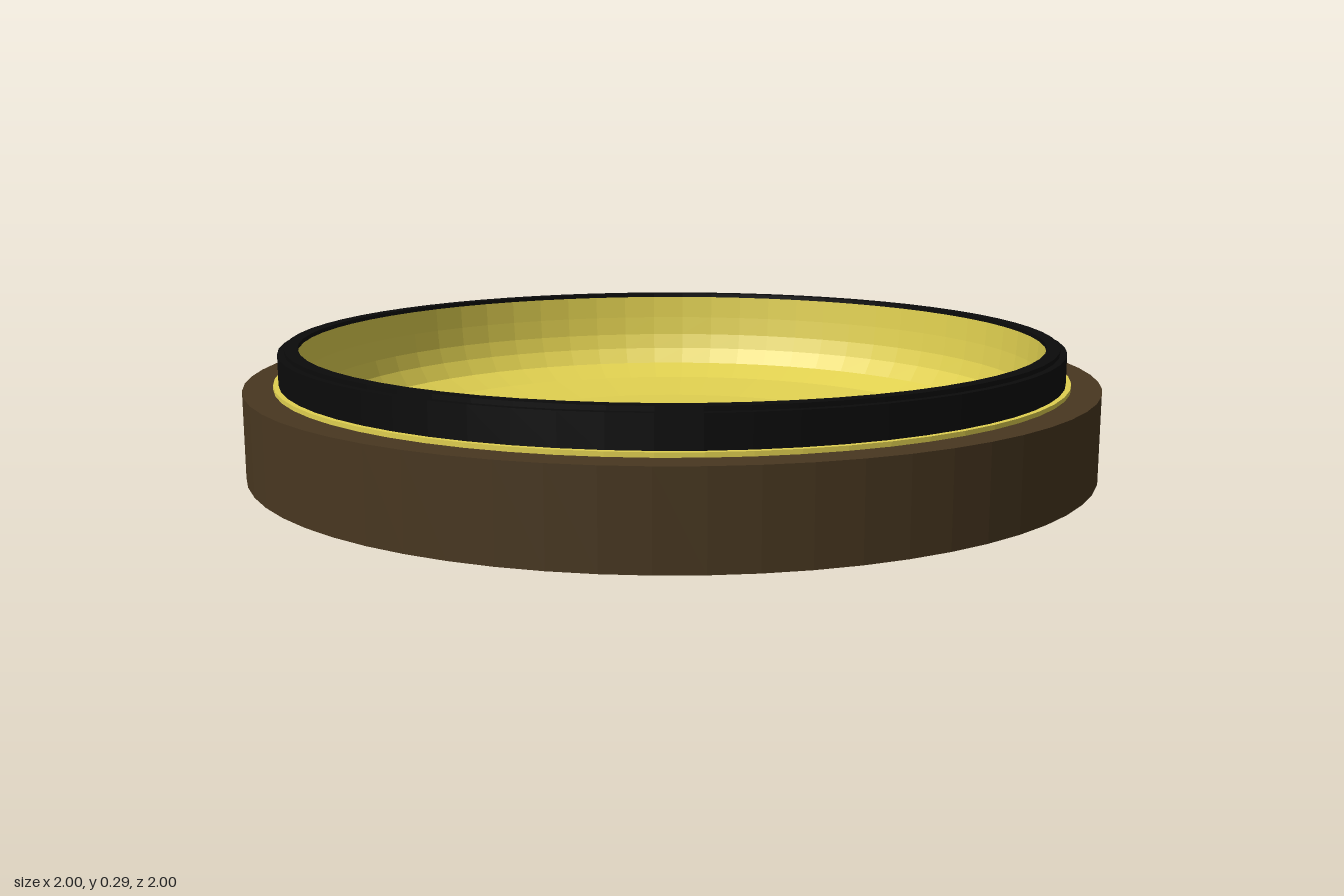
import * as THREE from 'three';

const SEGMENTS = 64;

// Revolves a [radius, height] profile into a flat-shaded part
function turned(name, profile, color) {
  const points = profile.map(([r, y]) => new THREE.Vector2(r, y));
  const material = new THREE.MeshStandardMaterial({ color, flatShading: true, side: THREE.DoubleSide });
  const mesh = new THREE.Mesh(new THREE.LatheGeometry(points, SEGMENTS), material);
  mesh.name = name;
  return mesh;
}

export function createModel() {
  const model = new THREE.Group();
  model.name = 'dish';
  const brown = 0x483720, yellow = 0xe0d050, black = 0x0b0b0b;

  // Dark underside and the brown outer band with its flat ledge
  model.add(turned('underside', [[0, 0], [1, 0]], black));
  model.add(turned('outerBand', [[1, 0], [1, 0.2], [0.92, 0.2]], brown));

  // Thin yellow bead between ledge and rim
  model.add(turned('trimRing', [[0.932, 0.2], [0.932, 0.21], [0.915, 0.21]], yellow));

  // Black rim with a small stepped lip
  model.add(turned('rim', [
    [0.92, 0.2], [0.92, 0.28], [0.905, 0.28], [0.905, 0.29], [0.875, 0.29], [0.875, 0.275],
  ], black));

  // Shallow bowl: flat floor, gentle slope, then a rounded wall
  model.add(turned('bowl', [
    [0, 0.04], [0.57, 0.04], [0.75, 0.06], [0.825, 0.09],
    [0.852, 0.13], [0.865, 0.17], [0.871, 0.22], [0.875, 0.28],
  ], yellow));

  return model;
}
